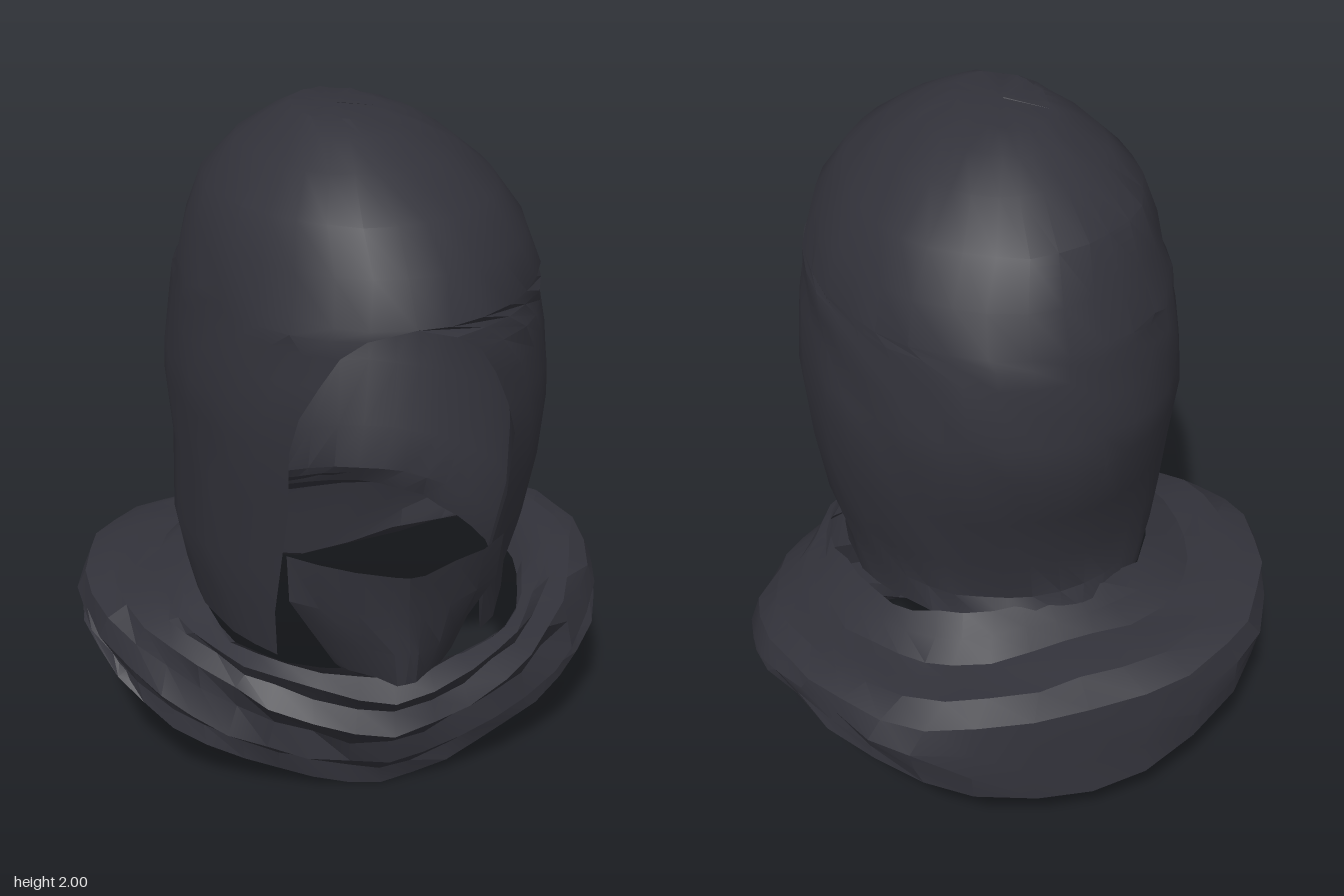
import * as THREE from 'three';
import { toCreasedNormals } from 'three/addons/utils/BufferGeometryUtils.js';

const V = (x, y, z) => new THREE.Vector3(x, y, z);

// Small repeatable cloth unevenness; equal positions always move equally
function crumple(p, amount) {
  const [a, b, c] = [p.x, p.y, p.z].map(n => Math.round(n * 1000));
  const h = k => { const s = Math.sin(a * 12.99 + b * 78.23 + c * 37.72 + k * 11.3) * 4375.85; return s - Math.floor(s) - 0.5; };
  return V(p.x + h(1) * amount, p.y + h(2) * amount * 0.4, p.z + h(3) * amount);
}

// Skin a surface over rows of points (bottom row first, columns running counter-clockwise)
function skin(rows, amount = 0.014, crease = 0.35) {
  const n = rows[0].length, index = [];
  const points = rows.flat().map(p => crumple(p, amount));
  for (let r = 0; r < rows.length - 1; r++) {
    for (let c = 0; c < n - 1; c++) {
      const a = r * n + c, d = a + n;
      index.push(a, a + 1, d, a + 1, d + 1, d);
    }
  }
  const g = new THREE.BufferGeometry().setFromPoints(points);
  g.setIndex(index);
  return toCreasedNormals(g, crease);
}

// Hood sections: height, half width, front z, back z, x shift
const SECTIONS = [
  [0.5, 0.46, 0.62, -0.45, -0.02], [0.66, 0.48, 0.64, -0.42, -0.03], [0.8, 0.515, 0.66, -0.43, -0.02],
  [1.0, 0.53, 0.71, -0.5, 0], [1.2, 0.545, 0.76, -0.565, 0], [1.3, 0.54, 0.77, -0.57, 0],
  [1.4, 0.53, 0.77, -0.555, 0], [1.48, 0.52, 0.76, -0.54, 0], [1.53, 0.51, 0.755, -0.53, 0],
  [1.56, 0.505, 0.755, -0.52, 0], [1.68, 0.47, 0.71, -0.47, 0], [1.8, 0.41, 0.63, -0.4, -0.02],
  [1.9, 0.3, 0.5, -0.25, -0.03], [1.965, 0.2, 0.38, -0.16, -0.04], [1.998, 0.125, 0.3, -0.07, -0.06],
  [2.0, 0.0005, 0.121, 0.119, -0.06],
];

// Half width of the face opening at a height
const opening = y => y >= 1.56 ? 0 : y < 1.15 ? 0.305 : 0.31 * Math.sqrt(1 - ((y - 1.15) / 0.41) ** 2);

function hoodRows() {
  const columns = 30;
  return SECTIONS.map(([y, w, front, back, shift], r) => {
    const start = Math.asin(Math.min(1, opening(y) / w));
    const mid = y > 1.9 ? (front + back) / 2 : 0.08;
    return Array.from({ length: columns + 1 }, (_, c) => {
      const a = start + (2 * Math.PI - 2 * start) * c / columns;
      const cos = Math.cos(a);
      const lift = r === 0 ? 0.05 * (1 - cos) : 0;
      return V(shift + w * Math.sin(a), y + lift, mid + cos * (cos > 0 ? front - mid : mid - back));
    });
  });
}

// Collar rings from neck to rim: half outlines from front to back
const COLLAR = [
  [[0, 0.5, 0.62], [0.3, 0.5, 0.52], [0.46, 0.52, 0.3], [0.48, 0.57, 0.05], [0.42, 0.6, -0.22], [0.25, 0.63, -0.37], [0, 0.64, -0.42]],
  [[0, 0.4, 0.64], [0.33, 0.46, 0.53], [0.52, 0.5, 0.28], [0.58, 0.53, 0.02], [0.52, 0.54, -0.3], [0.32, 0.54, -0.48], [0, 0.55, -0.52]],
  [[0, 0.27, 0.61], [0.35, 0.36, 0.52], [0.6, 0.46, 0.28], [0.71, 0.53, 0], [0.65, 0.54, -0.36], [0.4, 0.53, -0.6], [0, 0.53, -0.66]],
  [[0, 0.12, 0.51], [0.34, 0.2, 0.47], [0.64, 0.32, 0.31], [0.81, 0.44, -0.05], [0.75, 0.48, -0.36], [0.52, 0.42, -0.66], [0, 0.38, -0.75]],
  [[0, 0, 0.42], [0.3, 0.07, 0.39], [0.6, 0.2, 0.3], [0.79, 0.36, 0.08], [0.76, 0.43, -0.32], [0.5, 0.3, -0.66], [0, 0.17, -0.77]],
];

function collarRows() {
  const columns = 36;
  const rings = COLLAR.map(half => {
    const mirrored = half.slice(1, -1).reverse().map(([x, y, z]) => [-x, y, z]);
    const curve = new THREE.CatmullRomCurve3([...half, ...mirrored].map(p => V(...p)), true);
    const ring = Array.from({ length: columns }, (_, c) => curve.getPoint(c / columns));
    return [...ring, ring[0].clone()];
  });
  const rows = [];
  rings.forEach((ring, r) => {
    rows.push(ring);
    if (r === rings.length - 1) return;
    // Pleat tucked in between neighbouring rings, deepest at the front
    rows.push(ring.map((p, c) => {
      const front = Math.max(0, Math.cos(2 * Math.PI * c / columns));
      const q = p.clone().lerp(rings[r + 1][c], 0.5);
      const k = 1 - 0.07 * front + (r === 2 ? 0.035 * (1 - front) : 0);
      return V(q.x * k, q.y + (r === 2 ? 0.015 * (1 - front) : 0), q.z * k);
    }));
  });
  // Hem turned under the rim
  rows.push(rings.at(-1).map(p => V(p.x * 0.93, p.y + 0.035, p.z * 0.93)));
  return rows.reverse();
}

// Chin flap: height, half width, side z, centre z
const FLAP = [
  [0.47, 0.14, 0.56, 0.62], [0.5, 0.17, 0.55, 0.72], [0.6, 0.23, 0.55, 0.73],
  [0.72, 0.3, 0.56, 0.735], [0.86, 0.31, 0.57, 0.775],
];

function flapRows() {
  return FLAP.map(([y, w, side, centre]) => [-1, -0.75, -0.45, -0.15, 0, 0.15, 0.45, 0.75, 1].map(t =>
    V(w * t, y, side + (centre - side) * (1 - Math.abs(t) ** 1.4))));
}

export function createModel() {
  const model = new THREE.Group();
  model.name = 'hood';
  const cloth = new THREE.MeshStandardMaterial({ color: 0x32323a, side: THREE.DoubleSide });
  cloth.name = 'charcoal cloth';
  const add = (name, geometry) => {
    const mesh = new THREE.Mesh(geometry, cloth);
    mesh.name = name;
    model.add(mesh);
  };

  const hood = hoodRows();
  add('headCover', skin(hood, 0.014, 0.5));
  add('collar', skin(collarRows(), 0.022));
  add('chinFlap', skin(flapRows(), 0.016));

  // Hem turned inward around the face opening
  const edgeRows = hood.slice(0, 10);
  const edge = [...edgeRows.map(row => row[0]), ...edgeRows.slice(0, -1).reverse().map(row => row.at(-1))];
  const inner = edge.map(p => V(p.x * 1.06, p.y + (p.y > 1.4 ? 0.02 : 0), p.z - 0.07));
  add('faceHem', skin([inner, edge]));
  return model;
}
